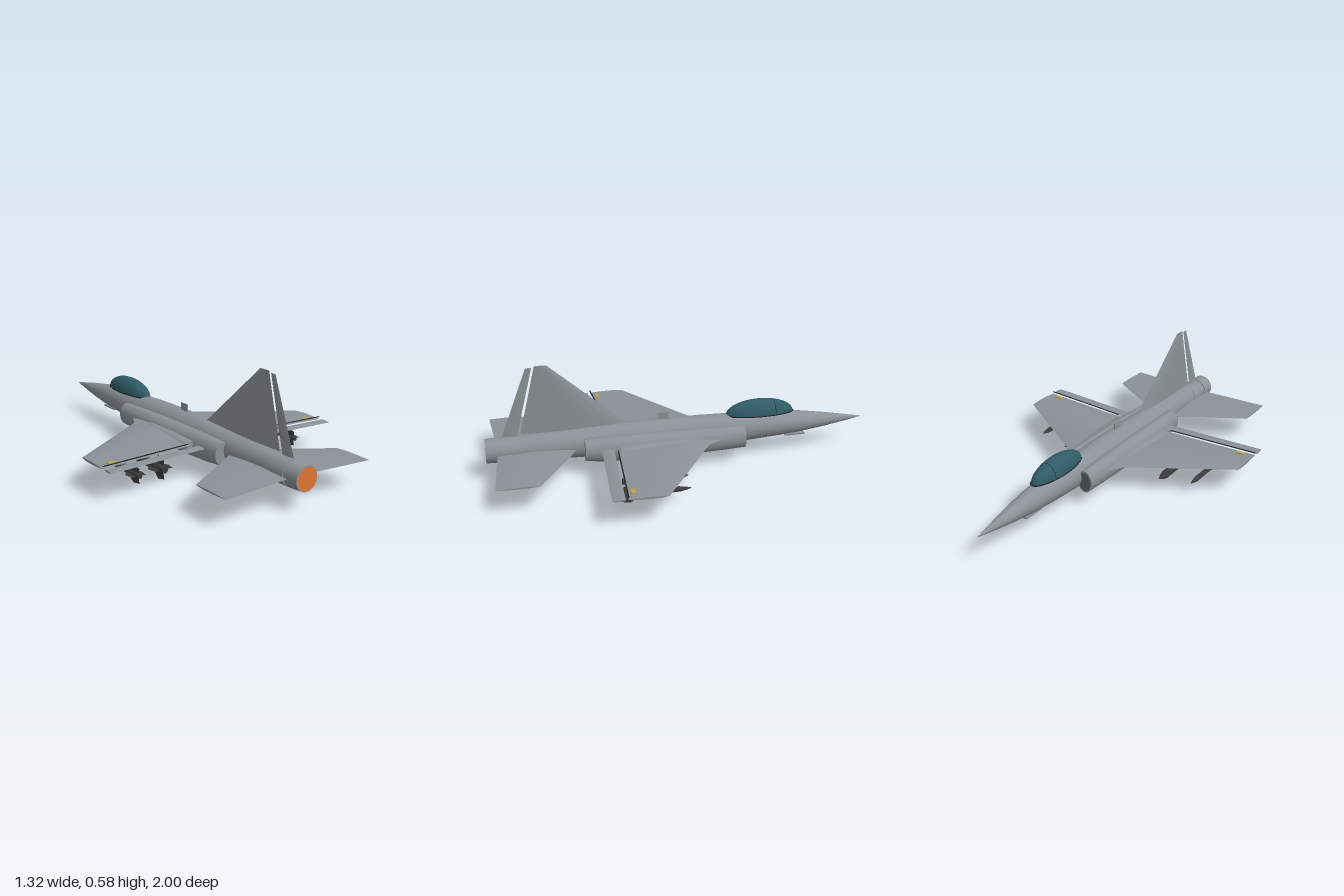
import * as THREE from 'three';
import { toCreasedNormals } from 'three/addons/utils/BufferGeometryUtils.js';

const mat = (name, color, side = THREE.FrontSide) => {
  const m = new THREE.MeshStandardMaterial({ color, side });
  m.name = name;
  return m;
};

// Skin a list of closed rings and cap both ends
function skin(rings, crease = 0.6) {
  const n = rings[0].length, pos = rings.flat(2), idx = [];
  const last = rings.length - 1;
  for (let i = 0; i < last; i++) for (let j = 0; j < n; j++) {
    const a = i * n + j, b = i * n + (j + 1) % n;
    idx.push(a, b, a + n, b, b + n, a + n);
  }
  [0, last].forEach((r, end) => {
    const c = pos.length / 3;
    for (let k = 0; k < 3; k++) pos.push(rings[r].reduce((s, p) => s + p[k], 0) / n);
    for (let j = 0; j < n; j++) {
      const a = r * n + j, b = r * n + (j + 1) % n;
      idx.push(c, end ? a : b, end ? b : a);
    }
  });
  const g = new THREE.BufferGeometry();
  g.setAttribute('position', new THREE.Float32BufferAttribute(pos, 3));
  g.setIndex(idx);
  g.computeVertexNormals();
  return toCreasedNormals(g, crease);
}

// Elliptical body along z; sections are [z, centreX, centreY, radiusX, radiusY]
const body = (sections, sides = 32) => skin(sections.map(([z, cx, cy, rx, ry]) =>
  Array.from({ length: sides }, (_, j) => {
    const a = j / sides * Math.PI * 2;
    return [cx + rx * Math.cos(a), cy + ry * Math.sin(a), z];
  })));

// Lens-profile surface along x; sections are [x, leadingZ, trailingZ, y, thickness]
const foil = (sections, steps = 8) => skin(sections.map(([x, z0, z1, y, t]) =>
  Array.from({ length: steps * 2 }, (_, j) => {
    const u = j <= steps ? j / steps : 2 - j / steps;
    const h = t / 2 * (0.12 + 0.88 * Math.sin(Math.PI * Math.pow(u, 0.8)));
    return [x, y + (j <= steps ? h : -h), z0 + (z1 - z0) * u];
  })));

export function createModel() {
  const gray = mat('airframe gray', 0x8b9197);
  const dark = mat('panel line black', 0x202326);
  const glass = mat('canopy teal', 0x2f5b66);
  const glow = mat('exhaust orange', 0xe07434);
  const store = mat('store charcoal', 0x3b3b3b, THREE.DoubleSide);
  const gold = mat('marker gold', 0xb9a24c);
  const inlet = mat('inlet gray', 0x5c6166);

  const model = new THREE.Group();
  model.name = 'jetAircraft';
  const add = (name, geo, m, parent = model) => {
    const mesh = new THREE.Mesh(geo, m);
    mesh.name = name;
    parent.add(mesh);
    return mesh;
  };
  const box = (name, size, at, m, parent) => {
    const mesh = add(name, new THREE.BoxGeometry(...size), m, parent);
    mesh.position.set(...at);
    return mesh;
  };

  // Fuselage and nozzle
  add('fuselage', body([
    [-1, 0, 0.152, 0.001, 0.001], [-0.93, 0, 0.152, 0.013, 0.014], [-0.8, 0, 0.154, 0.034, 0.036],
    [-0.65, 0, 0.156, 0.053, 0.057], [-0.5, 0, 0.156, 0.065, 0.068], [-0.33, 0, 0.155, 0.071, 0.077],
    [-0.1, 0, 0.153, 0.075, 0.084], [0.15, 0, 0.153, 0.076, 0.085], [0.4, 0, 0.153, 0.076, 0.082],
    [0.6, 0, 0.152, 0.072, 0.075], [0.82, 0, 0.15, 0.062, 0.065]]), gray);
  add('nozzleCollar', body([[0.8, 0, 0.15, 0.066, 0.066], [0.91, 0, 0.15, 0.065, 0.065]]), gray);
  add('nozzleSeam', body([[0.905, 0, 0.15, 0.06, 0.06], [0.92, 0, 0.15, 0.06, 0.06]]), gray);
  add('nozzle', body([[0.918, 0, 0.15, 0.065, 0.065], [0.997, 0, 0.15, 0.061, 0.061]]), gray);
  add('exhaustGlow', new THREE.CircleGeometry(0.056, 32), glow).position.set(0, 0.15, 1);

  // Canopy with base frame and bow
  const dome = new THREE.SphereGeometry(1, 32, 12, 0, Math.PI * 2, 0, Math.PI / 2);
  dome.scale(0.06, 0.077, 0.183);
  add('canopy', dome, glass).position.set(0, 0.226, -0.425);
  const rim = new THREE.TorusGeometry(1, 0.03, 6, 40);
  rim.rotateX(Math.PI / 2).scale(0.06, 0.1, 0.183);
  add('canopyFrame', rim, dark).position.set(0, 0.226, -0.425);
  const floor = new THREE.CircleGeometry(1, 32);
  floor.rotateX(Math.PI / 2).scale(0.06, 1, 0.183);
  add('canopyFloor', floor, gray).position.set(0, 0.225, -0.425);
  const bow = new THREE.TorusGeometry(1, 0.015, 4, 24, Math.PI);
  bow.scale(0.055, 0.0705, 0.1);
  add('canopyBow', bow, dark).position.set(0, 0.226, -0.5);

  // Fin and rudder, laid out along x then stood up
  [['fin', [[0.225, 0.27, 0.82, 0, 0.014], [0.578, 0.672, 0.732, 0, 0.008]]],
   ['rudder', [[0.218, 0.836, 0.912, 0, 0.01], [0.57, 0.745, 0.775, 0, 0.007]]]]
    .forEach(([name, s]) => { add(name, foil(s), gray).rotation.z = Math.PI / 2; });
  box('dorsalAerial', [0.006, 0.045, 0.055], [0, 0.253, 0.092], gray);
  box('noseGearDoor', [0.03, 0.008, 0.11], [0, 0.086, -0.625], gray);

  // Belly door outline
  for (const s of [-1, 1]) {
    box('bellySeamSide', [0.003, 0.003, 0.24], [s * 0.064, 0.064, 0.1], dark);
    box('bellySeamEnd', [0.128, 0.003, 0.003], [0, 0.064, 0.1 + s * 0.12], dark);
  }

  // Store: body with nose cone and four swept fins
  const addStore = (parent, name, x, y, r, z0, z1, span) => {
    const g = new THREE.Group();
    g.name = name;
    g.position.set(x, y, 0);
    parent.add(g);
    add('storeBody', body([[z0, 0, 0, 0.001, 0.001], [z0 + 0.025, 0, 0, r * 0.6, r * 0.6],
      [z0 + 0.06, 0, 0, r, r], [z1 - 0.05, 0, 0, r, r], [z1, 0, 0, r * 0.7, r * 0.7]], 14), store, g);
    const shape = new THREE.Shape();
    [[z1 - 0.13, 0], [z1 - 0.06, span], [z1 - 0.01, span * 0.8], [z1 - 0.02, 0]]
      .forEach(([a, b], i) => (i ? shape.lineTo(a, b) : shape.moveTo(a, b)));
    for (let i = 0; i < 4; i++) {
      const fin = new THREE.ShapeGeometry(shape);
      fin.rotateY(-Math.PI / 2).rotateZ(i * Math.PI / 2);
      add('storeFin', fin, store, g);
    }
  };

  // Everything paired is built for +x and mirrored
  for (const s of [1, -1]) {
    const side = new THREE.Group();
    side.name = s > 0 ? 'leftSide' : 'rightSide';
    side.scale.x = s;
    model.add(side);

    add('intakeDuct', body([
      [-0.32, 0.088, 0.138, 0.042, 0.058], [-0.2, 0.086, 0.137, 0.046, 0.063],
      [0, 0.082, 0.136, 0.056, 0.067], [0.25, 0.082, 0.136, 0.056, 0.067],
      [0.42, 0.08, 0.137, 0.047, 0.064], [0.51, 0.078, 0.14, 0.045, 0.057]]), gray, side);
    const mouth = new THREE.CircleGeometry(1, 28);
    mouth.rotateY(Math.PI).scale(0.035, 0.05, 1);
    add('intakeMouth', mouth, inlet, side).position.set(0.09, 0.138, -0.322);

    add('wing', foil([[0.07, -0.26, 0.345, 0.15, 0.034], [0.13, -0.19, 0.35, 0.15, 0.032],
      [0.175, -0.11, 0.355, 0.15, 0.03], [0.66, 0.2, 0.387, 0.15, 0.012]]), gray, side);
    add('wingRootFairing', body([[-0.11, 0.12, 0.15, 0.02, 0.008], [0, 0.12, 0.15, 0.045, 0.022],
      [0.2, 0.12, 0.15, 0.05, 0.024], [0.34, 0.12, 0.15, 0.053, 0.016]], 20), gray, side);
    add('flap', foil([[0.1, 0.365, 0.428, 0.15, 0.012], [0.175, 0.372, 0.433, 0.15, 0.012],
      [0.66, 0.4, 0.462, 0.15, 0.008]]), gray, side);
    const hinge = box('hingeLine', [0.49, 0.003, 0.006], [0.415, 0.163, 0.371], dark, side);
    hinge.rotation.y = -0.066;
    box('wingMarker', [0.045, 0.004, 0.022], [0.592, 0.158, 0.355], gold, side);

    add('tailplane', foil([[0.05, 0.535, 0.94, 0.143, 0.018], [0.42, 0.758, 0.966, 0.14, 0.008]]), gray, side);

    box('innerPylon', [0.01, 0.075, 0.075], [0.303, 0.108, 0.19], gray, side);
    box('outerPylon', [0.008, 0.06, 0.075], [0.475, 0.12, 0.245], gray, side);
    addStore(side, 'innerStore', 0.303, 0.06, 0.021, 0.03, 0.36, 0.06);
    addStore(side, 'outerStore', 0.475, 0.08, 0.013, 0.055, 0.41, 0.045);
  }
  return model;
}
